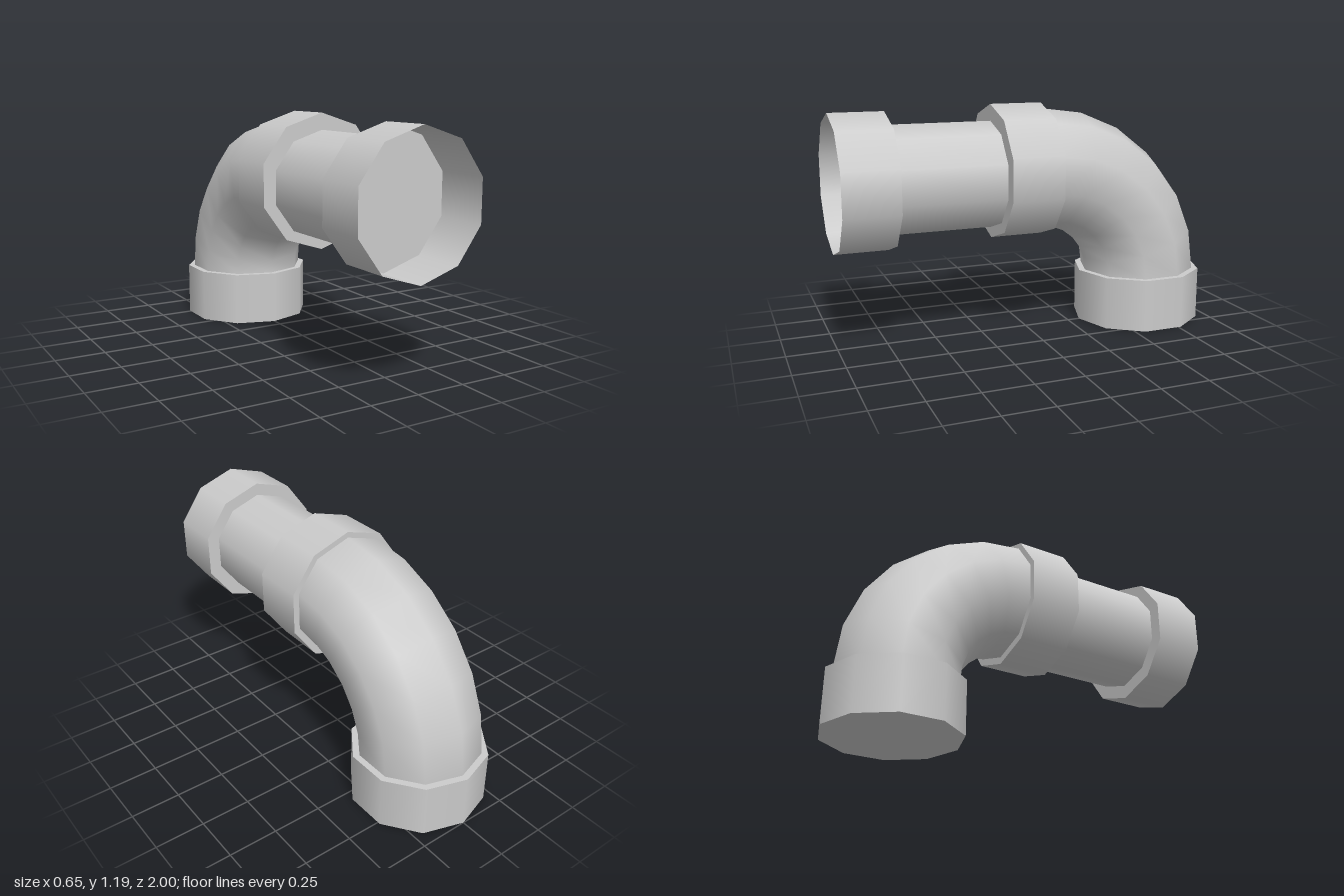
import * as THREE from 'three';

const SIDES = 10;
const COLLAR_R = 0.3425;

export function createModel() {
  const group = new THREE.Group();
  const mat = new THREE.MeshStandardMaterial({ color: 0xcccccc, side: THREE.DoubleSide });

  const add = (name, geometry, x, y, z) => {
    const mesh = new THREE.Mesh(geometry, mat);
    mesh.name = name;
    mesh.position.set(x, y, z);
    group.add(mesh);
  };

  // Ten-sided cylinder lying along z between two z values
  const alongZ = (name, radius, y, zBack, zFront, open) => {
    const g = new THREE.CylinderGeometry(radius, radius, zFront - zBack, SIDES, 1, open);
    add(name, g.rotateX(Math.PI / 2), 0, y, (zBack + zFront) / 2);
  };

  // Front socket: open mouth, closed by a disc at its back
  alongZ('frontCollar', COLLAR_R, 0.828, 0.727, 1, true);
  add('frontCollarBack', new THREE.CircleGeometry(COLLAR_R, SIDES, Math.PI / 2), 0, 0.828, 0.727);

  // Straight run and middle coupling
  alongZ('straightPipe', 0.273, 0.832, 0.19, 0.727, true);
  alongZ('middleCollar', COLLAR_R, 0.847, -0.082, 0.19, false);

  // Quarter-turn elbow bending down at the back
  const elbow = new THREE.TorusGeometry(0.576, 0.309, SIDES, 6, Math.PI / 2);
  add('elbow', elbow.rotateY(Math.PI / 2), 0, 0.275, -0.081);

  // Closed socket standing on the ground
  const base = new THREE.CylinderGeometry(COLLAR_R, COLLAR_R, 0.276, SIDES);
  add('bottomCollar', base, 0, 0.138, -0.6575);

  return group;
}
